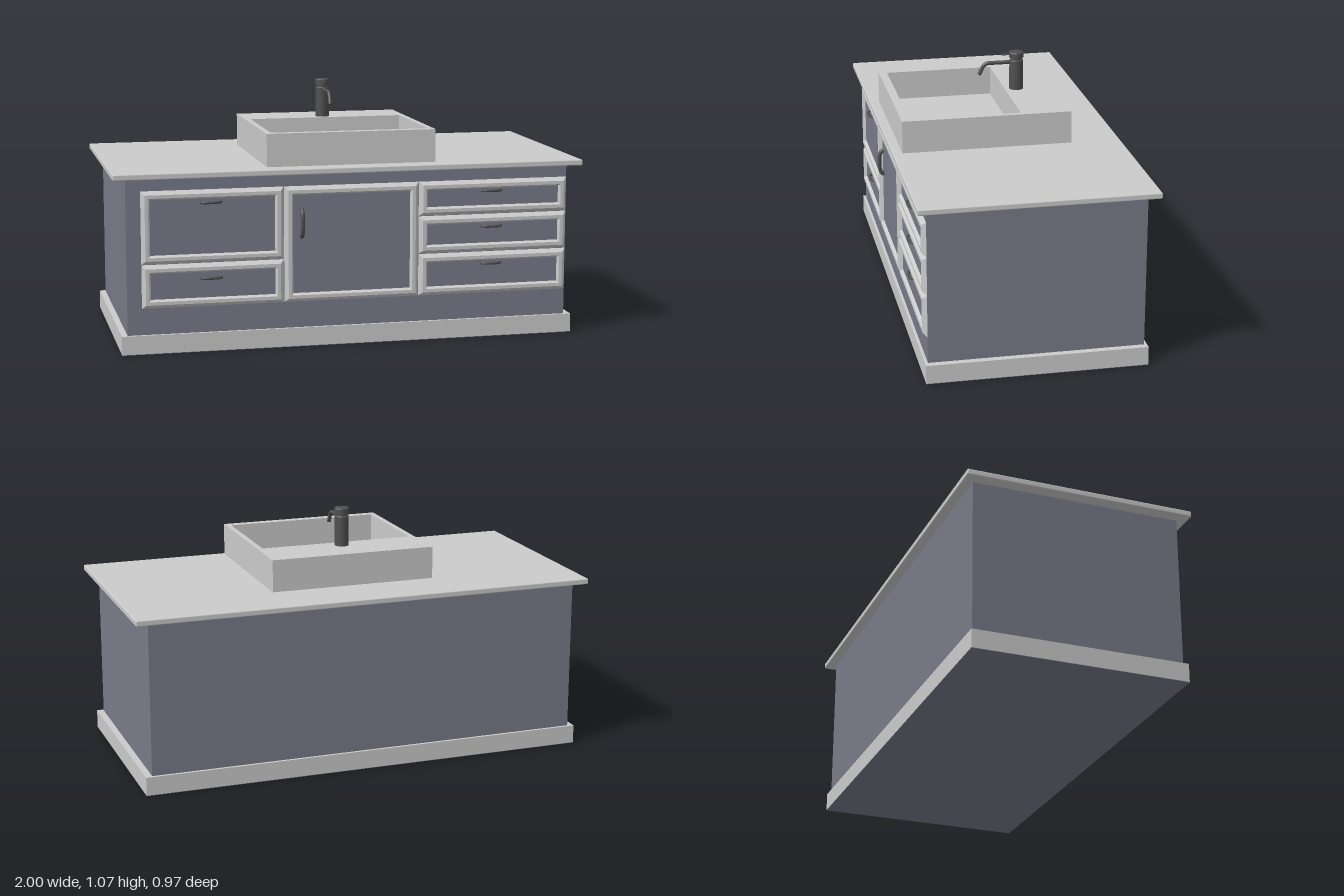
import * as THREE from 'three';
import { RoundedBoxGeometry } from 'three/addons/geometries/RoundedBoxGeometry.js';

const grey = new THREE.MeshStandardMaterial({ color: 0xcccccc });
const blue = new THREE.MeshStandardMaterial({ color: 0x787b89 });
const dark = new THREE.MeshStandardMaterial({ color: 0x505050 });

function add(parent, name, geometry, material, x = 0, y = 0, z = 0) {
  const mesh = new THREE.Mesh(geometry, material);
  mesh.name = name;
  mesh.position.set(x, y, z);
  parent.add(mesh);
  return mesh;
}

// Box given by its limits on each axis
function box(parent, name, material, x0, x1, y0, y1, z0, z1) {
  const g = new THREE.BoxGeometry(x1 - x0, y1 - y0, z1 - z0);
  return add(parent, name, g, material, (x0 + x1) / 2, (y0 + y1) / 2, (z0 + z1) / 2);
}

// Bevelled rectangular moulding: an [inset, z] profile swept round a rectangle
function mouldingGeometry(x0, x1, y0, y1, profile) {
  const corners = ([i, z]) => [
    [x0 + i, y0 + i, z], [x1 - i, y0 + i, z], [x1 - i, y1 - i, z], [x0 + i, y1 - i, z],
  ];
  const pos = [];
  for (let p = 0; p < profile.length - 1; p++) {
    const a = corners(profile[p]), b = corners(profile[p + 1]);
    for (let k = 0; k < 4; k++) {
      const n = (k + 1) % 4;
      pos.push(...a[k], ...a[n], ...b[n], ...a[k], ...b[n], ...b[k]);
    }
  }
  const g = new THREE.BufferGeometry();
  g.setAttribute('position', new THREE.Float32BufferAttribute(pos, 3));
  g.computeVertexNormals();
  return g;
}

// Bowed bar handle lying along x, ends on the panel
function handleGeometry(length, depth, radius) {
  const h = length / 2;
  const curve = new THREE.CatmullRomCurve3([
    [-h, 0], [-h * 0.85, depth * 0.6], [-h * 0.45, depth], [0, depth * 1.05],
    [h * 0.45, depth], [h * 0.85, depth * 0.6], [h, 0],
  ].map(([x, z]) => new THREE.Vector3(x, 0, z)));
  return new THREE.TubeGeometry(curve, 28, radius, 10);
}

const PANEL_Z = 0.45;
const PROFILE = [[0, 0.444], [0.016, 0.463], [0.03, 0.463], [0.038, PANEL_Z]];

// Framed front with its recessed panel
function framedFront(parent, name, x0, x1, y0, y1) {
  const group = new THREE.Group();
  group.name = name;
  add(group, 'frame', mouldingGeometry(x0, x1, y0, y1, PROFILE), grey);
  box(group, 'panel', blue, x0 + 0.03, x1 - 0.03, y0 + 0.03, y1 - 0.03, 0.44, PANEL_Z);
  parent.add(group);
  return group;
}

export function createModel() {
  const model = new THREE.Group();
  model.name = 'washstand';

  // Cabinet body, plinth and worktop
  box(model, 'plinth', grey, -0.97, 0.97, 0.002, 0.08, -0.457, 0.457);
  box(model, 'bottomPlate', blue, -0.97, 0.97, 0, 0.002, -0.457, 0.457);
  box(model, 'cabinet', blue, -0.945, 0.942, 0.08, 0.731, -0.445, 0.445);
  add(model, 'worktop', new RoundedBoxGeometry(2, 0.025, 0.974, 2, 0.005), grey, 0, 0.7435, 0);

  // Drawers: x0, x1, y0, y1, handle height
  const drawers = [
    [-0.885, -0.289, 0.374, 0.68, 0.626],
    [-0.885, -0.289, 0.19, 0.374, 0.31],
    [0.289, 0.942, 0.532, 0.68, 0.633],
    [0.289, 0.942, 0.37, 0.532, 0.48],
    [0.289, 0.942, 0.19, 0.37, 0.32],
  ];
  for (const [x0, x1, y0, y1, hy] of drawers) {
    const drawer = framedFront(model, 'drawer', x0, x1, y0, y1);
    add(drawer, 'drawerHandle', handleGeometry(0.085, 0.016, 0.006), dark, (x0 + x1) / 2 - 0.008, hy, PANEL_Z);
  }

  // Door with upright handle
  const door = framedFront(model, 'door', -0.289, 0.289, 0.19, 0.68);
  const doorHandle = add(door, 'doorHandle', handleGeometry(0.115, 0.02, 0.009), dark, -0.214, 0.523, PANEL_Z);
  doorHandle.rotation.z = Math.PI / 2;

  // Basin: walls with a wide ledge at the back, and a floor
  const rect = (T, x, z0, z1) => new T([[-x, -z1], [x, -z1], [x, -z0], [-x, -z0]]
    .map(([a, b]) => new THREE.Vector2(a, b)));
  const outline = rect(THREE.Shape, 0.36, -0.27, 0.448);
  outline.holes.push(rect(THREE.Path, 0.336, -0.057, 0.412));
  const walls = new THREE.ExtrudeGeometry(outline, { depth: 0.138, bevelEnabled: false });
  walls.rotateX(-Math.PI / 2);
  add(model, 'basinWalls', walls, grey, 0, 0.762, 0);
  box(model, 'basinFloor', grey, -0.337, 0.337, 0.762, 0.775, -0.058, 0.413);

  // Tap
  const tap = new THREE.Group();
  tap.name = 'tap';
  tap.position.set(-0.004, 0, -0.108);
  model.add(tap);
  const body = [[0, 0.9], [0.03, 0.9], [0.03, 1.028], [0.028, 1.031], [0.024, 1.031],
    [0.024, 1.042], [0.032, 1.042], [0.032, 1.062], [0.03, 1.065], [0, 1.065]];
  // Doubled profile points keep the rims crisp
  const profile = body.flatMap(([r, y]) => [new THREE.Vector2(r, y), new THREE.Vector2(r, y + 1e-5)]);
  add(tap, 'tapBody', new THREE.LatheGeometry(profile, 32), dark);
  const lever = add(tap, 'lever', new THREE.CylinderGeometry(0.004, 0.004, 0.045, 12), dark, 0, 1.055, 0.042);
  lever.rotation.x = Math.PI / 2;

  // Spout: straight run, bend, then angled outlet
  const v = (y, z) => new THREE.Vector3(0, y, z);
  const path = new THREE.CurvePath();
  path.add(new THREE.LineCurve3(v(1.02, 0.02), v(1.02, 0.118)));
  path.add(new THREE.QuadraticBezierCurve3(v(1.02, 0.118), v(1.02, 0.14), v(1.002, 0.149)));
  path.add(new THREE.LineCurve3(v(1.002, 0.149), v(0.97, 0.164)));
  add(tap, 'spout', new THREE.TubeGeometry(path, 32, 0.0085, 14), dark);
  const outlet = add(tap, 'outlet', new THREE.CircleGeometry(0.0085, 14), dark, 0, 0.97, 0.164);
  outlet.rotation.x = Math.atan2(0.032, 0.015);

  return model;
}
